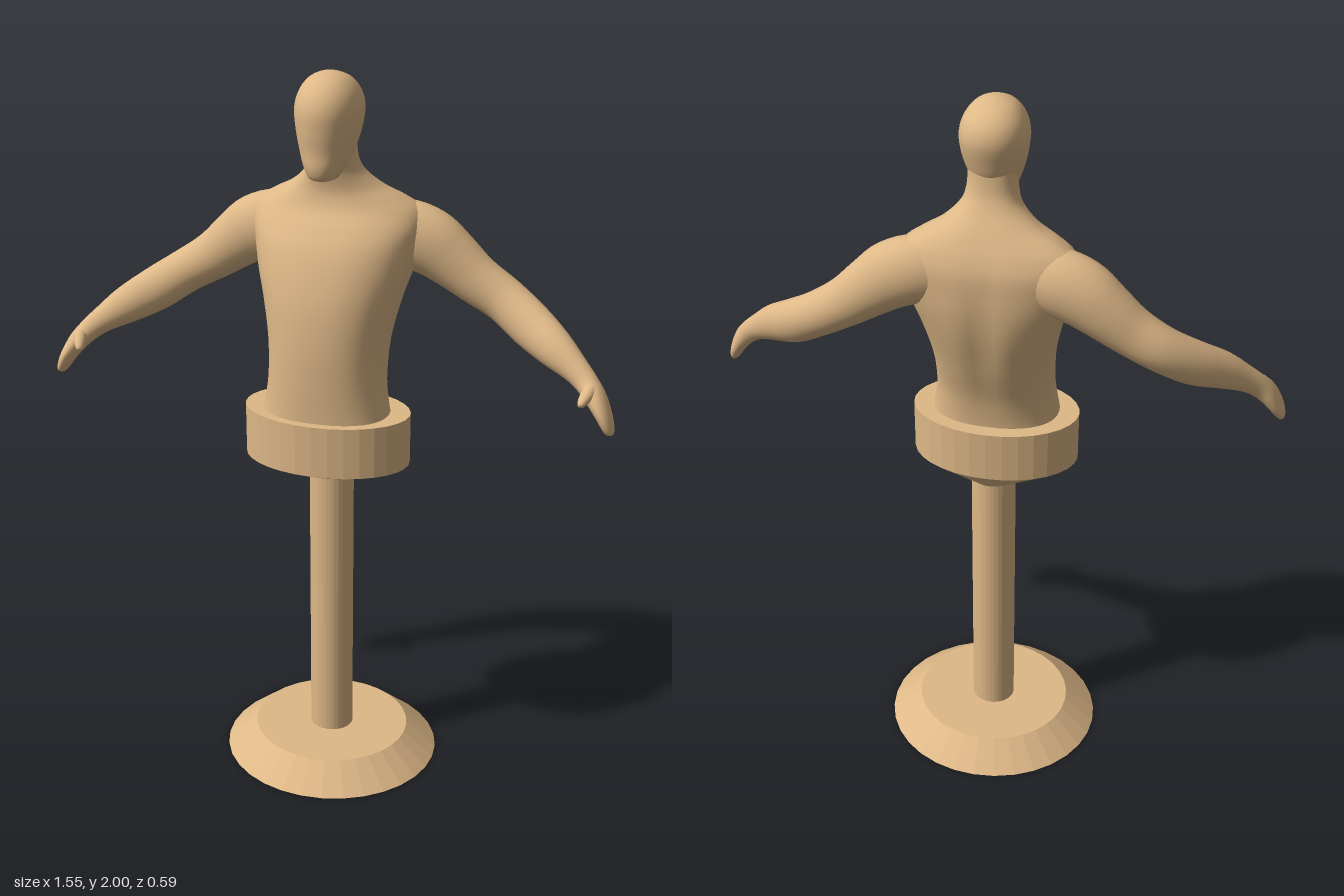
import * as THREE from 'three';

const skin = new THREE.MeshStandardMaterial({ color: 0xdeb887 });
const facet = new THREE.MeshStandardMaterial({ color: 0xdeb887, flatShading: true });
const V = (x, y, z) => new THREE.Vector3(x, y, z);

// Catmull-Rom resampling of rows of numbers
function smoothRows(rows, steps) {
  const out = [];
  const at = i => rows[Math.min(Math.max(i, 0), rows.length - 1)];
  for (let i = 0; i < rows.length - 1; i++) {
    for (let s = 0; s < steps; s++) {
      const t = s / steps;
      out.push(at(i).map((b, k) => {
        const a = at(i - 1)[k], c = at(i + 1)[k], d = at(i + 2)[k];
        return b + 0.5 * t * (c - a + t * (2 * a - 5 * b + 4 * c - d + t * (3 * (b - c) + d - a)));
      }));
    }
  }
  out.push(rows[rows.length - 1]);
  return out;
}

// Closed skin over a list of rings, with a fan at each end
function loft(name, rings) {
  const n = rings[0].length, pos = [], idx = [];
  rings.forEach(r => r.forEach(p => pos.push(p.x, p.y, p.z)));
  for (let i = 0; i < rings.length - 1; i++) {
    for (let j = 0; j < n; j++) {
      const a = i * n + j, b = i * n + (j + 1) % n;
      idx.push(a, a + n, b, b, a + n, b + n);
    }
  }
  [0, rings.length - 1].forEach(i => {
    const c = V(0, 0, 0);
    rings[i].forEach(p => c.addScaledVector(p, 1 / n));
    const m = pos.length / 3;
    pos.push(c.x, c.y, c.z);
    for (let j = 0; j < n; j++) {
      const a = i * n + j, b = i * n + (j + 1) % n;
      if (i === 0) idx.push(m, a, b); else idx.push(m, b, a);
    }
  });
  const g = new THREE.BufferGeometry();
  g.setAttribute('position', new THREE.Float32BufferAttribute(pos, 3));
  g.setIndex(idx);
  g.computeVertexNormals();
  const mesh = new THREE.Mesh(g, skin);
  mesh.name = name;
  return mesh;
}

// Upright body: rows of [y, half width, front z, back z, z of widest point]
function body(name, rows, power, groove) {
  const n = 48;
  return loft(name, smoothRows(rows, 5).map(([y, w, zf, zb, zw]) =>
    Array.from({ length: n }, (_, j) => {
      const a = j / n * Math.PI * 2, c = Math.cos(a), s = Math.sin(a);
      const x = w * Math.sign(c) * Math.abs(c) ** power;
      let z = zw + (s > 0 ? zf - zw : zw - zb) * Math.sign(s) * Math.abs(s) ** power;
      // spine hollow
      if (s < 0) z += groove * Math.exp(-((x / 0.035) ** 2) - ((y - 1.42) / 0.17) ** 2);
      return V(x, y, z);
    })));
}

// Limb: rows of [x, y, z, radius across the front plane, radius along z]
function limb(name, rows, side) {
  const n = 28, r = smoothRows(rows, 4);
  const pts = r.map(p => V(p[0] * side, p[1], p[2]));
  return loft(name, r.map((p, i) => {
    const t = pts[Math.min(i + 1, r.length - 1)].clone().sub(pts[Math.max(i - 1, 0)]).normalize();
    const b = V(0, 0, 1).addScaledVector(t, -t.z).normalize();
    const u = t.clone().cross(b);
    return Array.from({ length: n }, (_, j) => {
      const a = j / n * Math.PI * 2;
      return pts[i].clone().addScaledVector(u, p[3] * Math.cos(a)).addScaledVector(b, p[4] * Math.sin(a));
    });
  }));
}

// Elliptical stand part
function drum(name, rTop, rBottom, y0, y1, depth, z = 0) {
  const m = new THREE.Mesh(new THREE.CylinderGeometry(rTop, rBottom, y1 - y0, 32), facet);
  m.scale.z = depth;
  m.position.set(0, (y0 + y1) / 2, z);
  m.name = name;
  return m;
}

export function createModel() {
  const model = new THREE.Group();
  model.name = 'bustOnStand';

  // Stand
  model.add(drum('base', 0.225, 0.312, 0, 0.072, 0.95));
  model.add(drum('pole', 0.062, 0.062, 0.06, 0.91, 0.95));
  model.add(drum('seat', 0.23, 0.23, 0.957, 1.1, 0.66, 0.038));

  // Tapered underside, easing from the offset seat to the pole
  const taper = drum('seatTaper', 0.23, 0.062, 0.893, 0.957, 1);
  const p = taper.geometry.attributes.position;
  for (let i = 0; i < p.count; i++) {
    const top = p.getY(i) > 0;
    p.setZ(i, p.getZ(i) * (top ? 0.66 : 0.95) + (top ? 0.038 : 0));
  }
  taper.geometry.computeVertexNormals();
  model.add(taper);

  // Torso running up into the neck
  model.add(body('torso', [
    [1.08, 0.178, 0.165, -0.072, 0.045],
    [1.13, 0.168, 0.165, -0.076, 0.042],
    [1.20, 0.160, 0.166, -0.090, 0.035],
    [1.30, 0.164, 0.165, -0.124, 0.015],
    [1.40, 0.184, 0.155, -0.153, -0.015],
    [1.48, 0.208, 0.136, -0.165, -0.045],
    [1.55, 0.225, 0.109, -0.165, -0.070],
    [1.60, 0.235, 0.076, -0.160, -0.085],
    [1.64, 0.222, 0.043, -0.146, -0.085],
    [1.67, 0.180, 0.030, -0.130, -0.075],
    [1.70, 0.124, 0.027, -0.112, -0.055],
    [1.74, 0.080, 0.034, -0.086, -0.030],
    [1.78, 0.065, 0.045, -0.069, -0.012],
    [1.84, 0.062, 0.050, -0.062, -0.005],
  ], 0.88, 0.014));

  // Head with a blank face and a forward chin
  model.add(body('head', [
    [1.735, 0.018, 0.098, 0.055, 0.078],
    [1.743, 0.038, 0.115, 0.025, 0.070],
    [1.77, 0.054, 0.124, -0.015, 0.055],
    [1.81, 0.069, 0.125, -0.057, 0.035],
    [1.86, 0.082, 0.130, -0.076, 0.018],
    [1.91, 0.087, 0.130, -0.087, 0.012],
    [1.95, 0.077, 0.115, -0.077, 0.012],
    [1.98, 0.055, 0.085, -0.047, 0.015],
    [1.995, 0.028, 0.052, -0.012, 0.020],
    [2.0, 0.004, 0.025, 0.015, 0.020],
  ], 0.95, 0));

  // Arms, flattening into mitten hands, with thumbs
  [['left', 1], ['right', -1]].forEach(([label, side]) => {
    model.add(limb(label + 'Arm', [
      [0.08, 1.575, -0.075, 0.075, 0.060],
      [0.17, 1.570, -0.085, 0.090, 0.072],
      [0.24, 1.548, -0.091, 0.090, 0.072],
      [0.30, 1.508, -0.095, 0.079, 0.066],
      [0.37, 1.456, -0.094, 0.067, 0.058],
      [0.45, 1.408, -0.088, 0.061, 0.056],
      [0.53, 1.357, -0.052, 0.061, 0.052],
      [0.60, 1.318, -0.008, 0.052, 0.045],
      [0.66, 1.280, 0.025, 0.037, 0.034],
      [0.695, 1.252, 0.045, 0.031, 0.031],
      [0.722, 1.223, 0.064, 0.027, 0.040],
      [0.745, 1.188, 0.078, 0.021, 0.042],
      [0.760, 1.158, 0.086, 0.016, 0.033],
      [0.768, 1.140, 0.090, 0.010, 0.020],
      [0.769, 1.136, 0.091, 0.003, 0.006],
    ], side));
    model.add(limb(label + 'Thumb', [
      [0.712, 1.250, 0.055, 0.018, 0.018],
      [0.705, 1.240, 0.085, 0.018, 0.018],
      [0.697, 1.228, 0.108, 0.014, 0.015],
      [0.692, 1.220, 0.122, 0.008, 0.009],
      [0.691, 1.218, 0.125, 0.002, 0.002],
    ], side));
  });

  return model;
}
